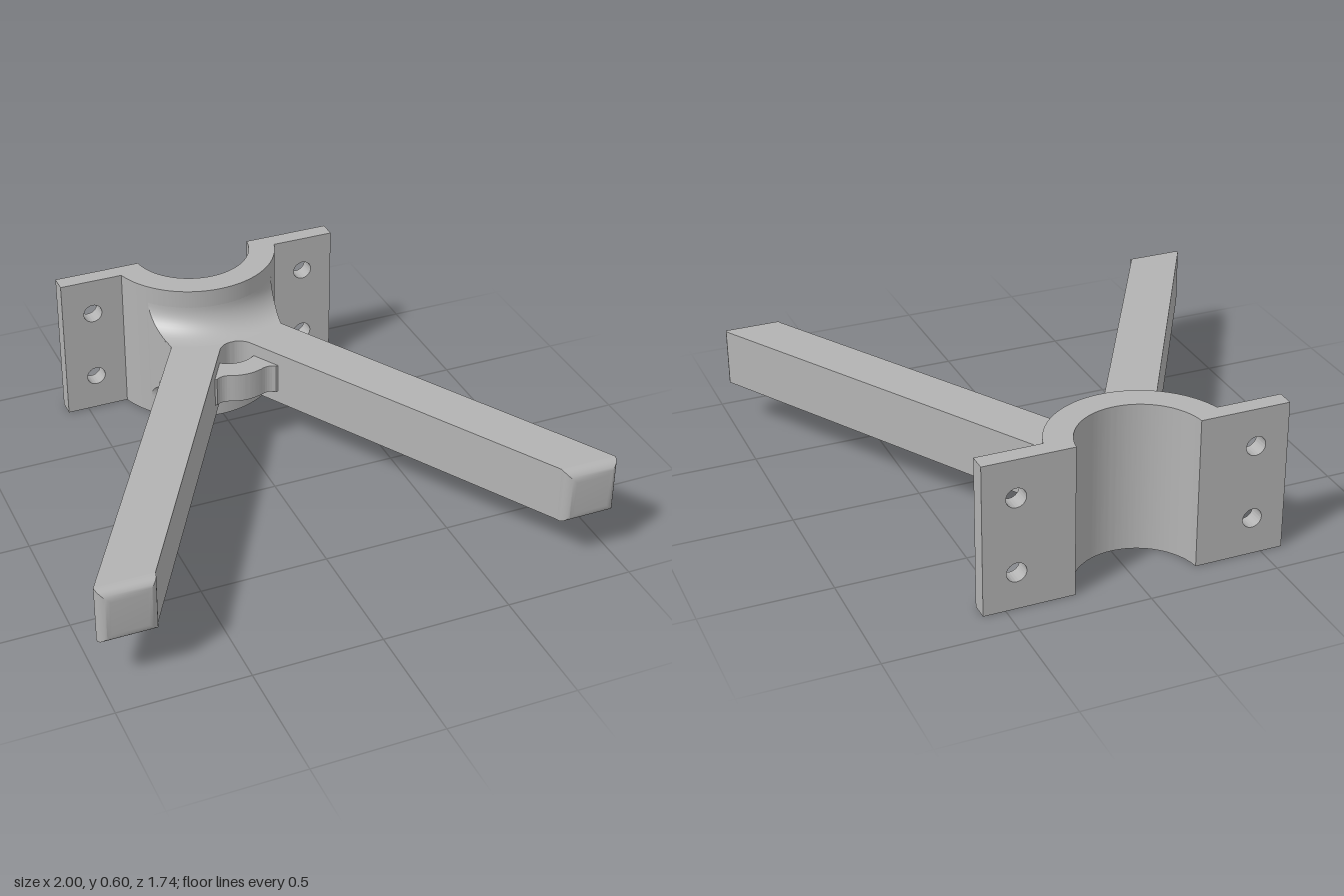
import * as THREE from 'three';
import { toCreasedNormals } from 'three/addons/utils/BufferGeometryUtils.js';

const MID = 0.2975;          // mid height; the model is symmetric above and below it
const ZC = -0.9;             // axis of the collar
const R_IN = 0.238, R_OUT = 0.344;
const ARM_H = 0.226;

const steel = new THREE.MeshStandardMaterial({ color: 0xb3b3b3 });
steel.name = 'grey metal';

function part(name, geometry) {
  const mesh = new THREE.Mesh(toCreasedNormals(geometry, 0.6), steel);
  mesh.name = name;
  return mesh;
}

// Extrudes a plan outline (shape y = -z) upwards, centred on the mid height
function plan(shape, height) {
  const g = new THREE.ExtrudeGeometry(shape, { depth: height, bevelEnabled: false, curveSegments: 48 });
  return g.rotateX(-Math.PI / 2).translate(0, MID - height / 2, 0);
}

// Skins rows of points
function loft(rows) {
  const n = rows[0].length, index = [];
  for (let k = 0; k < rows.length - 1; k++) {
    for (let c = 0; c < n - 1; c++) {
      const a = k * n + c, d = a + n;
      index.push(a, a + 1, d, a + 1, d + 1, d);
    }
  }
  const g = new THREE.BufferGeometry();
  g.setAttribute('position', new THREE.Float32BufferAttribute(rows.flat(2), 3));
  g.setIndex(index);
  g.computeVertexNormals();
  return g;
}

// Half turn about the z axis at mid height
function halfTurn(mesh) {
  mesh.rotation.z = Math.PI;
  mesh.position.y = MID * 2;
  return mesh;
}

function collar() {
  const s = new THREE.Shape();
  const drop = -0.026;
  const a = Math.asin(drop / R_OUT), b = Math.asin(drop / R_IN);
  s.absarc(0, -ZC, R_OUT, Math.PI - a, Math.PI * 2 + a, false);
  s.absarc(0, -ZC, R_IN, Math.PI * 2 + b, Math.PI - b, true);
  s.closePath();
  return plan(s, MID * 2);
}

function flange(side) {
  const s = new THREE.Shape();
  const x0 = side > 0 ? 0.3 : -0.585, x1 = side > 0 ? 0.585 : -0.3;
  s.moveTo(x0, 0).lineTo(x1, 0).lineTo(x1, MID * 2).lineTo(x0, MID * 2).closePath();
  for (const y of [0.149, 0.446]) {
    s.holes.push(new THREE.Path().absarc(side * 0.458, y, 0.038, 0, Math.PI * 2, true));
  }
  return new THREE.ExtrudeGeometry(s, { depth: 0.068, bevelEnabled: false, curveSegments: 32 })
    .translate(0, 0, -0.874);
}

// Both arms and their root, with a rounded crotch
function arms() {
  const s = new THREE.Shape();
  s.moveTo(0.225, 0.73).lineTo(0.265, 0.68).lineTo(0.235, 0.5);
  s.lineTo(1, -0.826).lineTo(0.779, -0.826);
  s.lineTo(0.065, 0.407);
  s.absarc(0, 0.37, 0.075, Math.PI / 6, Math.PI * 5 / 6, false);
  s.lineTo(-0.779, -0.826).lineTo(-1, -0.826);
  s.lineTo(-0.235, 0.5).lineTo(-0.265, 0.68).lineTo(-0.225, 0.73);
  s.lineTo(0, 0.64).closePath();
  return plan(s, ARM_H);
}

// Rounded end of one arm
function armEnd() {
  const r = 0.044, rows = [];
  for (let k = 0; k <= 8; k++) {
    const t = k / 8 * Math.PI / 2, inset = r * (1 - Math.cos(t)), z = 0.826 + r * Math.sin(t);
    const x0 = 0.779 + inset, x1 = 1 - inset, h = ARM_H / 2 - inset;
    rows.push([[x0, MID - h, z], [x1, MID - h, z], [x1, MID + h, z], [x0, MID + h, z], [x0, MID - h, z]]);
  }
  rows.push(Array.from({ length: 5 }, () => [0.89, MID, 0.87]));
  return loft(rows);
}

// Concave blend from the collar down to the top of the arms, cut off by the side walls
function rootFillet() {
  const r = 0.112, base = MID + ARM_H / 2, rows = [];
  for (let i = 0; i <= 12; i++) {
    const t = i / 12 * Math.PI / 2;
    const out = 1 - Math.cos(t), rho = R_OUT + r * out, y = base + r * (1 - Math.sin(t));
    const spread = Math.asin((0.265 - 0.03 * out) / rho);
    const row = [];
    for (let j = 0; j <= 32; j++) {
      const a = spread * (1 - j / 16);
      row.push([rho * Math.sin(a), y, ZC + rho * Math.cos(a)]);
    }
    const first = row[0], last = row[32];
    rows.push([[first[0], base, first[2]], ...row, [last[0], base, last[2]]]);
  }
  return loft(rows);
}

// Small curved strap bridging the crotch
function strap() {
  const s = new THREE.Shape();
  s.moveTo(-0.11, 0.41).lineTo(-0.07, 0.393);
  s.quadraticCurveTo(0, 0.347, 0.07, 0.393);
  s.lineTo(0.11, 0.41).lineTo(0.15, 0.29).lineTo(0.125, 0.288);
  s.quadraticCurveTo(0.1, 0.306, 0.07, 0.294);
  s.quadraticCurveTo(0, 0.264, -0.07, 0.294);
  s.quadraticCurveTo(-0.1, 0.306, -0.125, 0.288);
  s.lineTo(-0.15, 0.29).closePath();
  return plan(s, 0.12);
}

export function createModel() {
  const model = new THREE.Group();
  model.name = 'forkedBracket';
  model.add(
    part('collar', collar()),
    part('leftFlange', flange(1)),
    part('rightFlange', flange(-1)),
    part('arms', arms()),
    part('leftArmEnd', armEnd()),
    halfTurn(part('rightArmEnd', armEnd())),
    part('upperRootFillet', rootFillet()),
    halfTurn(part('lowerRootFillet', rootFillet())),
    part('crotchStrap', strap()),
  );
  return model;
}
